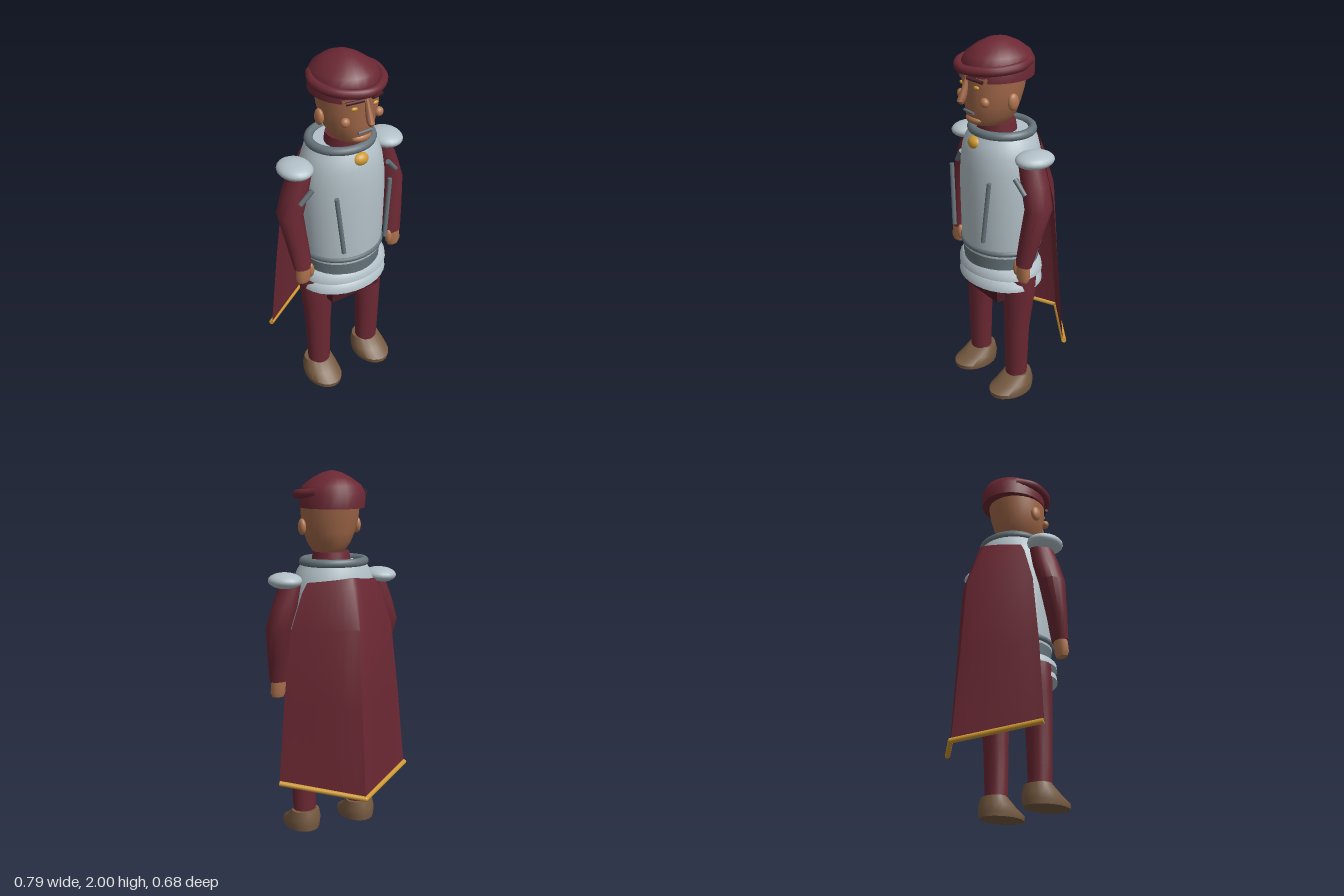
import * as THREE from 'three';
import { toCreasedNormals } from 'three/addons/utils/BufferGeometryUtils.js';

const mat = (name, color) => {
  const m = new THREE.MeshStandardMaterial({ color });
  m.name = name;
  return m;
};

export function createModel() {
  const model = new THREE.Group();
  const maroon = mat('maroon cloth', 0x6b2833);
  const darkMaroon = mat('dark maroon', 0x4a1b24);
  const steel = mat('pale steel', 0xb3c1c8);
  const iron = mat('dark steel', 0x66747b);
  const skin = mat('skin', 0xa3694a);
  const lightSkin = mat('light skin', 0xb1754f);
  const gold = mat('gold', 0xcf9a33);
  const leather = mat('brown leather', 0x765a41);
  const capeCloth = mat('cape cloth', 0x6b2833);
  capeCloth.side = THREE.DoubleSide;

  const add = (name, geometry, material, x = 0, y = 0, z = 0) => {
    const mesh = new THREE.Mesh(geometry, material);
    mesh.name = name;
    mesh.position.set(x, y, z);
    model.add(mesh);
    return mesh;
  };

  // Capped elliptical loft; rings run upward as [y, centreX, centreZ, radiusX, radiusZ]
  const loft = (rings, sides = 20, crease = 0.8) => {
    const end = (r) => [r[0], r[1], r[2], 0, 0];
    const all = [end(rings[0]), ...rings, end(rings[rings.length - 1])];
    const pos = [], index = [];
    for (const [y, cx, cz, rx, rz] of all)
      for (let i = 0; i < sides; i++) {
        const a = (i / sides) * Math.PI * 2;
        pos.push(cx + rx * Math.sin(a), y, cz + rz * Math.cos(a));
      }
    for (let r = 0; r < all.length - 1; r++)
      for (let i = 0; i < sides; i++) {
        const j = (i + 1) % sides, a = r * sides + i, b = r * sides + j;
        if (r > 0) index.push(a, b, b + sides);
        if (r < all.length - 2) index.push(a, b + sides, a + sides);
        if (r === 0) index.push(a, b + sides, a + sides);
      }
    const g = new THREE.BufferGeometry();
    g.setAttribute('position', new THREE.Float32BufferAttribute(pos, 3));
    g.setIndex(index);
    return toCreasedNormals(g, crease);
  };

  const ball = (name, material, x, y, z, rx, ry, rz) => {
    const m = add(name, new THREE.SphereGeometry(1, 20, 14), material, x, y, z);
    m.scale.set(rx, ry, rz);
    return m;
  };

  // Straight rod between two points
  const rod = (name, material, from, to, r) => {
    const a = new THREE.Vector3(...from), b = new THREE.Vector3(...to);
    const m = add(name, new THREE.CylinderGeometry(r, r, a.distanceTo(b), 10), material);
    m.position.copy(a).lerp(b, 0.5);
    m.quaternion.setFromUnitVectors(new THREE.Vector3(0, 1, 0), b.sub(a).normalize());
    return m;
  };

  const tube = (name, material, points, r, closed = false) => add(name, new THREE.TubeGeometry(
    new THREE.CatmullRomCurve3(points.map((p) => new THREE.Vector3(...p)), closed), 40, r, 10, closed), material);

  // Horizontal oval ring
  const ovalRing = (name, material, y, z, rx, rz, r) => {
    const m = add(name, new THREE.TorusGeometry(1, r / rx, 10, 36), material, 0, y, z);
    m.rotation.x = Math.PI / 2;
    m.scale.set(rx, rz, rx);
    return m;
  };

  // Head and neck
  add('neck', loft([[1.45, 0, 0.09, 0.115, 0.11], [1.575, 0, 0.1, 0.1, 0.1]]), maroon);
  add('head', loft([[1.552, 0, 0.11, 0.05, 0.06], [1.575, 0, 0.135, 0.085, 0.105],
    [1.62, 0, 0.128, 0.115, 0.135], [1.68, 0, 0.122, 0.14, 0.145],
    [1.75, 0, 0.115, 0.154, 0.16], [1.83, 0, 0.11, 0.158, 0.17]], 28), skin);

  // Cap with a rolled brim that dies into the sides
  add('cap', loft([[1.808, 0, 0.085, 0.173, 0.19], [1.885, 0, 0.085, 0.175, 0.19],
    [1.925, 0, 0.085, 0.153, 0.17], [1.965, 0, 0.085, 0.097, 0.115],
    [1.99, 0, 0.085, 0.05, 0.06], [2, 0, 0.085, 0.012, 0.015]], 24), maroon);
  tube('capBrim', maroon, [[-0.13, 1.89, -0.01], [-0.177, 1.882, 0.09], [-0.135, 1.872, 0.225],
    [0, 1.868, 0.298], [0.135, 1.872, 0.225], [0.177, 1.882, 0.09], [0.13, 1.89, -0.01]], 0.024);

  // Face
  add('nose', loft([[1.695, 0, 0.308, 0.008, 0.01], [1.712, 0, 0.312, 0.019, 0.023],
    [1.74, 0, 0.3, 0.017, 0.022], [1.835, 0, 0.268, 0.008, 0.012]], 12), skin);
  rod('mouth', iron, [-0.04, 1.647, 0.268], [0.04, 1.647, 0.268], 0.007);
  ball('chin', lightSkin, 0, 1.605, 0.235, 0.058, 0.027, 0.035);

  // Breastplate, collar and brooch
  add('breastplate', loft([[0.86, 0, 0.075, 0.225, 0.2], [0.95, 0, 0.075, 0.235, 0.203],
    [1.2, 0, 0.072, 0.24, 0.207], [1.33, 0, 0.07, 0.236, 0.205], [1.42, 0, 0.07, 0.222, 0.196],
    [1.48, 0, 0.068, 0.2, 0.182], [1.525, 0, 0.065, 0.17, 0.16]], 32), steel);
  ovalRing('collarRing', iron, 1.525, 0.063, 0.168, 0.153, 0.024);
  ball('brooch', gold, 0, 1.474, 0.232, 0.047, 0.036, 0.036);

  // Belt and overlapping waist plates
  add('belt', loft([[0.78, 0, 0.075, 0.215, 0.195], [0.88, 0, 0.075, 0.222, 0.2]], 32), iron);
  ovalRing('beltRim', iron, 0.89, 0.075, 0.222, 0.196, 0.017);
  for (const y of [0.74, 0.672]) {
    add('waistPlate', loft([[y, 0, 0.08, 0.262, 0.207], [y + 0.03, 0, 0.08, 0.258, 0.203],
      [y + 0.05, 0, 0.08, 0.235, 0.187]], 32), steel);
  }
  add('hips', loft([[0.66, 0, 0.08, 0.2, 0.15], [0.76, 0, 0.08, 0.22, 0.165]]), maroon);
  add('tunicSkirt', new THREE.BoxGeometry(0.31, 0.16, 0.25), darkMaroon, 0, 0.67, 0.092);

  for (const s of [-1, 1]) {
    // Paired facial features
    ball('eye', gold, s * 0.06, 1.783, 0.262, 0.019, 0.01, 0.01);
    rod('eyebrow', darkMaroon, [s * 0.105, 1.817, 0.255], [s * 0.025, 1.832, 0.292], 0.009);
    ball('cheek', lightSkin, s * 0.1, 1.713, 0.242, 0.025, 0.025, 0.022);
    ball('ear', lightSkin, s * 0.163, 1.708, 0.114, 0.02, 0.044, 0.031);

    // Breastplate ridges and shoulder armour
    rod('breastplateRidge', iron, [s * 0.167, 1.315, 0.27], [s * 0.132, 0.975, 0.288], 0.012);
    rod('armStrap', iron, [s * 0.302, 1.262, 0.145], [s * 0.238, 1.335, 0.16], 0.014);
    ball('shoulderPlate', steel, s * 0.282, 1.433, 0.07, 0.09, 0.043, 0.106);

    // Arm, hand and thumb
    add('arm', loft([[0.865, s * 0.296, 0.148, 0.052, 0.036], [1.0, s * 0.308, 0.12, 0.06, 0.05],
      [1.18, s * 0.323, 0.075, 0.068, 0.075], [1.3, s * 0.286, 0.07, 0.068, 0.075],
      [1.41, s * 0.25, 0.07, 0.06, 0.068]], 14, 0.6), maroon);
    add('hand', loft([[0.775, s * 0.3, 0.155, 0.034, 0.022], [0.8, s * 0.3, 0.155, 0.044, 0.031],
      [0.88, s * 0.296, 0.15, 0.042, 0.032]], 12), lightSkin);
    ball('thumb', lightSkin, s * 0.26, 0.84, 0.165, 0.019, 0.045, 0.02);

    // Leg and shoe
    add('leg', loft([[0.08, s * 0.17, 0.1, 0.064, 0.058], [0.2, s * 0.172, 0.1, 0.069, 0.06],
      [0.4, s * 0.173, 0.098, 0.075, 0.065], [0.58, s * 0.17, 0.085, 0.09, 0.08],
      [0.66, s * 0.169, 0.078, 0.098, 0.088], [0.74, s * 0.168, 0.075, 0.098, 0.085]], 18), maroon);
    add('shoe', loft([[0, s * 0.174, 0.14, 0.097, 0.132], [0.025, s * 0.174, 0.14, 0.101, 0.135],
      [0.06, s * 0.173, 0.108, 0.096, 0.103], [0.11, s * 0.172, 0.083, 0.08, 0.064]], 20), leather);
  }

  // Cape: rows of [edgeX, edgeY, edgeZ, ridgeY, ridgeZ, bow], folded along the centre back
  const rows = [[0.2, 1.43, -0.035, 1.46, -0.155, 1.45], [0.23, 1.38, -0.037, 1.4, -0.178, 1.4],
    [0.3, 1.18, -0.042, 1.2, -0.25, 1.35], [0.345, 0.8, -0.047, 0.78, -0.285, 1.15],
    [0.385, 0.355, -0.06, 0.29, -0.33, 1]];
  const cols = 16, pos = [], index = [];
  rows.forEach(([ex, ey, ez, cy, cz, bow], r) => {
    for (let c = 0; c <= cols; c++) {
      const t = (c / cols) * 2 - 1, k = Math.abs(t);
      pos.push(ex * t, cy + (ey - cy) * k, cz + (ez - cz) * Math.pow(k, bow));
      if (r > 0 && c > 0) {
        const b = r * (cols + 1) + c, a = b - cols - 1;
        index.push(a - 1, a, b, a - 1, b, b - 1);
      }
    }
  });
  const cape = new THREE.BufferGeometry();
  cape.setAttribute('position', new THREE.Float32BufferAttribute(pos, 3));
  cape.setIndex(index);
  add('cape', toCreasedNormals(cape, 0.6), capeCloth);
  for (const s of [-1, 1])
    rod('capeHem', gold, [s * 0.387, 0.355, -0.066], [0, 0.295, -0.332], 0.014);
  ball('capeHemPoint', gold, 0, 0.295, -0.332, 0.014, 0.014, 0.014);

  return model;
}
